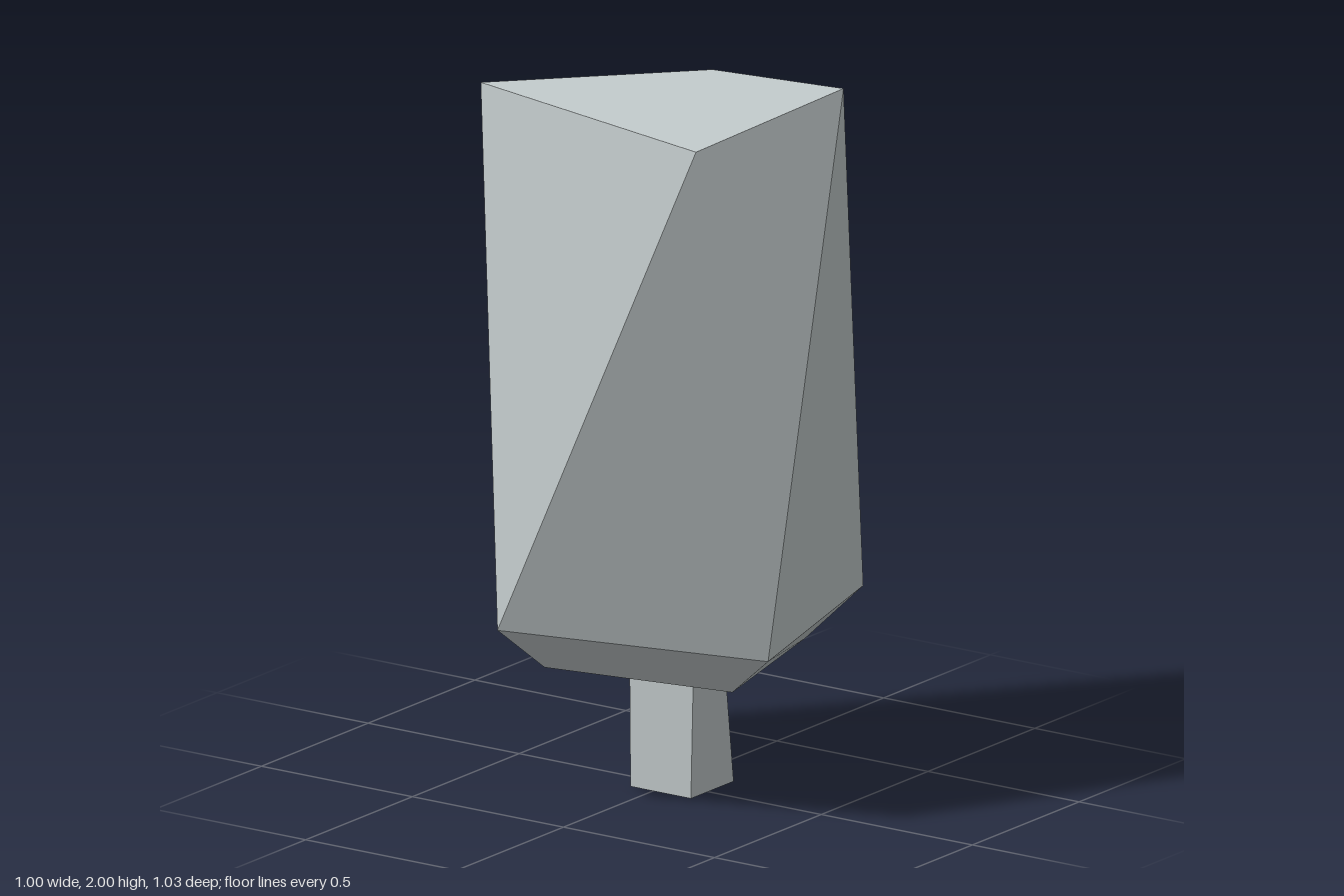
import * as THREE from 'three';

const material = new THREE.MeshStandardMaterial({ color: 0xc4cccd });
material.name = 'pale grey';

// Rings run back-left, back-right, front-right, front-left
const ring = (points) => points.map((p) => new THREE.Vector3(...p));

// Stack of rings; every four-sided face is shaded with a single normal
function skin(name, rings) {
  const positions = [];
  const normals = [];
  const quad = (a, b, c, d) => {
    const n = c.clone().sub(a).cross(d.clone().sub(b)).normalize();
    for (const v of [a, b, c, a, c, d]) {
      positions.push(v.x, v.y, v.z);
      normals.push(n.x, n.y, n.z);
    }
  };
  for (let r = 0; r < rings.length - 1; r++) {
    const low = rings[r];
    const high = rings[r + 1];
    for (let i = 0; i < 4; i++) {
      const j = (i + 1) % 4;
      quad(high[j], low[j], low[i], high[i]);
    }
  }
  quad(...rings[0]); // bottom cap
  quad(...[...rings[rings.length - 1]].reverse()); // top cap
  const geometry = new THREE.BufferGeometry();
  geometry.setAttribute('position', new THREE.Float32BufferAttribute(positions, 3));
  geometry.setAttribute('normal', new THREE.Float32BufferAttribute(normals, 3));
  const mesh = new THREE.Mesh(geometry, material);
  mesh.name = name;
  return mesh;
}

export function createModel() {
  const group = new THREE.Group();
  group.name = 'twistedBlockOnStem';

  // Twisted block with a tapered underside
  group.add(skin('body', [
    ring([[-0.31, 0.383, -0.18], [0.195, 0.358, -0.355], [0.34, 0.363, 0.19], [-0.165, 0.387, 0.355]]),
    ring([[-0.48, 0.515, -0.245], [0.275, 0.482, -0.515], [0.497, 0.49, 0.245], [-0.208, 0.523, 0.515]]),
    ring([[-0.5, 1.937, 0.18], [-0.15, 1.89, -0.41], [0.457, 2, -0.165], [0.375, 1.946, 0.41]]),
  ]));

  // Slightly twisted square stem
  group.add(skin('stem', [
    ring([[-0.075, 0, -0.12], [0.125, 0, -0.12], [0.125, 0, 0.08], [-0.075, 0, 0.08]]),
    ring([[-0.096, 0.4, -0.082], [0.091, 0.4, -0.118], [0.127, 0.4, 0.07], [-0.06, 0.4, 0.106]]),
  ]));

  return group;
}
